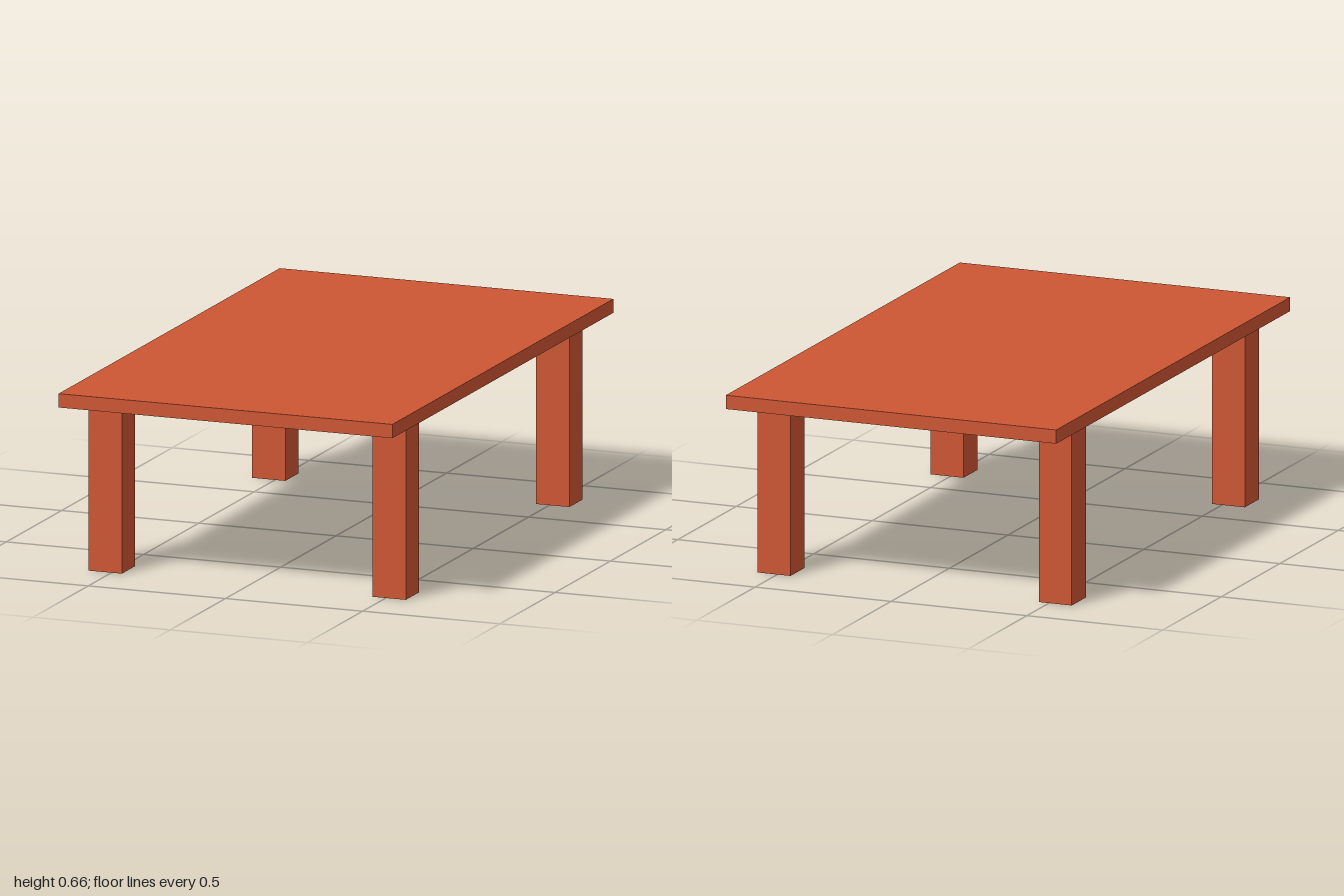
import * as THREE from 'three';

export function createModel() {
  const group = new THREE.Group();
  const paint = new THREE.MeshStandardMaterial({ color: 0xcc5533 });
  paint.name = 'terracotta';

  const addBox = (name, w, h, d, x, y, z) => {
    const mesh = new THREE.Mesh(new THREE.BoxGeometry(w, h, d), paint);
    mesh.name = name;
    mesh.position.set(x, y, z);
    group.add(mesh);
  };

  // Flat slab top
  const legHeight = 0.61, topThickness = 0.048;
  addBox('tableTop', 1.216, topThickness, 2, 0, legHeight + topThickness / 2, 0);

  // Four square legs, set slightly off centre
  const legWidth = 0.121;
  for (const [side, x] of [['Right', -0.523], ['Left', 0.512]]) {
    for (const [end, z] of [['front', 0.729], ['back', -0.75]]) {
      addBox(`${end}${side}Leg`, legWidth, legHeight, legWidth, x, legHeight / 2, z);
    }
  }

  return group;
}
